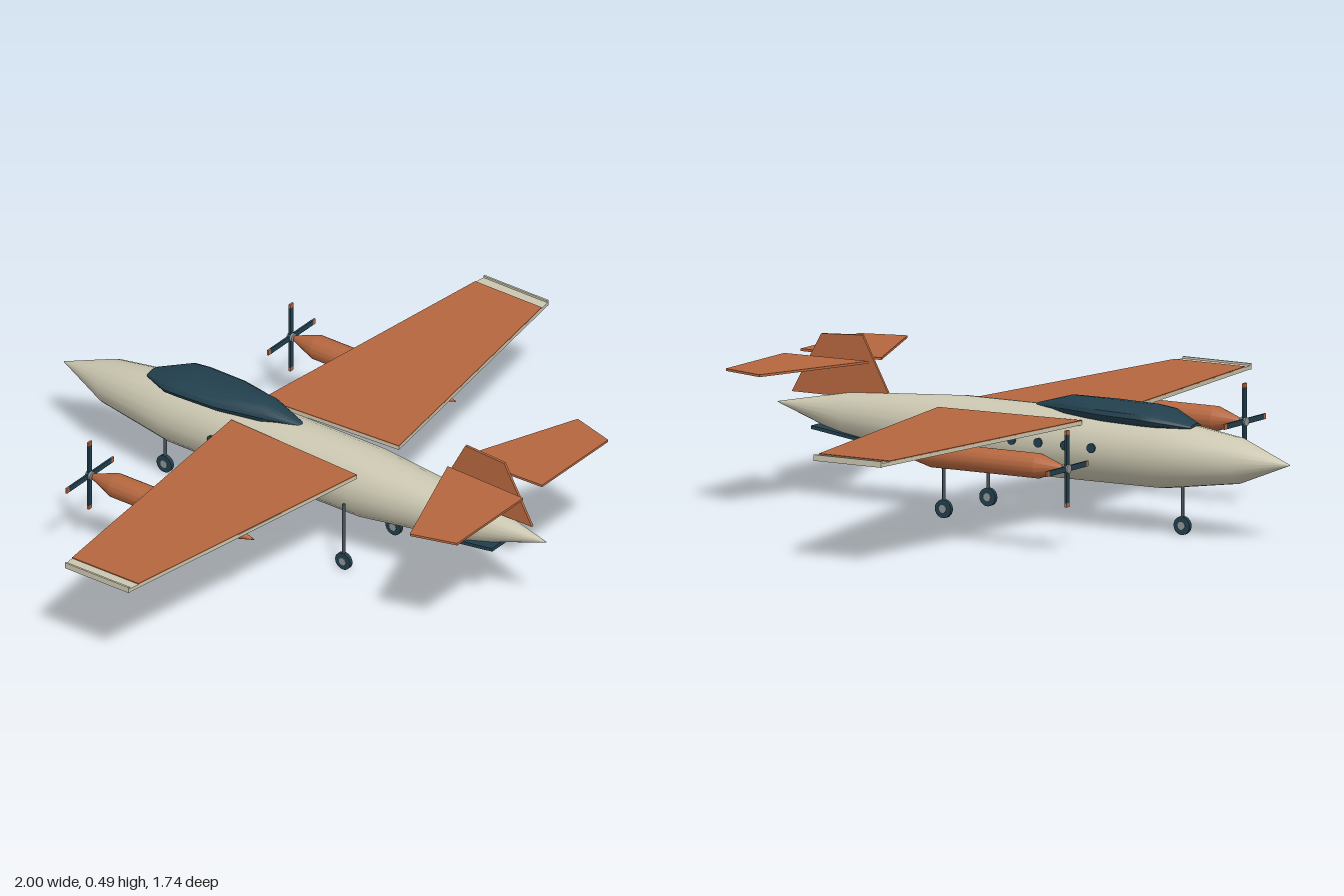
import * as THREE from 'three';
import { toCreasedNormals } from 'three/addons/utils/BufferGeometryUtils.js';

const material = (name, color) => {
  const m = new THREE.MeshStandardMaterial({ color });
  m.name = name;
  return m;
};

// Lofted body from elliptical rings [z, halfWidth, centreY, halfHeight], z ascending
function loft(rings, n = 16) {
  const pos = [], idx = [];
  rings.forEach(([z, rx, cy, ry], i) => {
    for (let j = 0; j < n; j++) {
      const a = (j / n) * Math.PI * 2;
      pos.push(rx * Math.cos(a), cy + ry * Math.sin(a), z);
      if (i === rings.length - 1) continue;
      const k = (j + 1) % n, p = i * n, q = p + n;
      idx.push(p + j, p + k, q + j, p + k, q + k, q + j);
    }
  });
  const g = new THREE.BufferGeometry();
  g.setAttribute('position', new THREE.Float32BufferAttribute(pos, 3));
  g.setIndex(idx);
  return toCreasedNormals(g, 0.5);
}

function extrude(points, depth) {
  const shape = new THREE.Shape(points.map(([x, y]) => new THREE.Vector2(x, y)));
  return new THREE.ExtrudeGeometry(shape, { depth, bevelEnabled: false });
}

// Horizontal plate from plan points [x, z], mirrored by side
function plate(points, side, y, thickness) {
  return extrude(points.map(([x, z]) => [x * side, -z]), thickness)
    .rotateX(-Math.PI / 2).translate(0, y, 0);
}

export function createModel() {
  const cream = material('cream', 0xcac6b0);
  const rust = material('rust', 0xb5673f);
  const navy = material('navy', 0x223f4d);
  const steel = material('steel', 0x8d9496);
  const darkSteel = material('darkSteel', 0x465157);

  const model = new THREE.Group();
  model.name = 'aeroplane';
  const add = (name, geometry, mat, parent = model) => {
    const mesh = new THREE.Mesh(geometry, mat);
    mesh.name = name;
    parent.add(mesh);
    return mesh;
  };

  // Fuselage, nose towards -z
  add('fuselage', loft([
    [-0.87, 0.001, 0.235, 0.001], [-0.7, 0.067, 0.233, 0.067],
    [-0.45, 0.103, 0.233, 0.102], [-0.2, 0.105, 0.235, 0.105],
    [0.24, 0.105, 0.235, 0.105], [0.62, 0.063, 0.248, 0.067],
    [0.87, 0.001, 0.265, 0.001],
  ], 20), cream);

  // Canopy
  add('canopy', loft([
    [-0.552, 0.001, 0.318, 0.001], [-0.55, 0.028, 0.318, 0.01],
    [-0.45, 0.083, 0.335, 0.029], [-0.4, 0.085, 0.338, 0.033],
    [-0.27, 0.08, 0.34, 0.034], [-0.13, 0.05, 0.341, 0.034],
    [-0.02, 0.013, 0.336, 0.008], [0, 0.001, 0.335, 0.001],
  ]), navy);

  // Tail ramp plate under the rear
  const ramp = add('tailRamp', new THREE.BoxGeometry(0.12, 0.01, 0.25), navy);
  ramp.position.set(0, 0.195, 0.595);
  ramp.rotation.x = -0.136;

  // Fin, drawn as [-z, y] and turned into the centre plane
  add('fin', extrude([[-0.82, 0.3], [-0.49, 0.3], [-0.49, 0.318], [-0.58, 0.485], [-0.72, 0.477]], 0.008)
    .translate(0, 0, -0.004).rotateY(Math.PI / 2), rust);

  for (const side of [1, -1]) {
    const label = side > 0 ? 'left' : 'right';

    // Wing core with painted upper panel
    add(label + 'Wing', plate([[0.075, -0.21], [1, -0.11], [1, 0.12], [0.1, 0.262]], side, 0.304, 0.011), cream);
    add(label + 'WingPanel', plate([[0.075, -0.21], [0.96, -0.114], [0.96, 0.126], [0.1, 0.262]], side, 0.315, 0.003), rust);
    const tip = add(label + 'WingTip', new THREE.BoxGeometry(0.006, 0.018, 0.23), cream);
    tip.position.set(side * 0.997, 0.312, 0.005);

    // Tailplane
    add(label + 'Tailplane', plate([[0.035, 0.54], [0.4, 0.68], [0.36, 0.82], [0.045, 0.82]], side, 0.41, 0.007), rust);

    // Engine pod
    const engine = new THREE.Group();
    engine.name = label + 'Engine';
    engine.position.set(side * 0.48, 0.253, 0);
    model.add(engine);
    add('nacelle', loft([
      [-0.405, 0.001, 0, 0.001], [-0.4, 0.009, 0, 0.009], [-0.32, 0.037, 0, 0.037],
      [0.04, 0.037, 0, 0.037], [0.18, 0.001, 0, 0.001],
    ]), rust, engine);

    // Four-bladed propeller
    const hub = add('hub', new THREE.CylinderGeometry(0.013, 0.013, 0.018, 12).rotateX(Math.PI / 2), steel, engine);
    hub.position.z = -0.413;
    for (let i = 0; i < 4; i++) {
      const blade = new THREE.Group();
      blade.name = 'blade';
      blade.position.z = -0.414;
      blade.rotation.z = i * Math.PI / 2;
      engine.add(blade);
      add('bladeBody', new THREE.BoxGeometry(0.016, 0.092, 0.006).translate(0, 0.054, 0), navy, blade);
      add('bladeTip', new THREE.BoxGeometry(0.016, 0.012, 0.006).translate(0, 0.106, 0), rust, blade);
    }

    // Portholes
    for (let i = 0; i < 5; i++) {
      const porthole = add(label + 'Porthole', new THREE.CylinderGeometry(0.014, 0.014, 0.008, 12).rotateZ(Math.PI / 2), navy);
      porthole.position.set(side * 0.104, 0.245, 0.1 - i * 0.09);
    }
  }

  // Landing gear: [name, x, z, strut top]
  for (const [name, x, z, top] of [['noseGear', 0, -0.505, 0.15], ['leftGear', 0.12, 0.23, 0.217], ['rightGear', -0.12, 0.23, 0.217]]) {
    const gear = new THREE.Group();
    gear.name = name;
    gear.position.set(x, 0, z);
    model.add(gear);
    add('strut', new THREE.CylinderGeometry(0.005, 0.005, top - 0.03, 10).translate(0, (top + 0.03) / 2, 0), darkSteel, gear);
    add('wheel', new THREE.CylinderGeometry(0.027, 0.027, 0.012, 20).rotateZ(Math.PI / 2).translate(0, 0.027, 0), navy, gear);
    add('wheelHub', new THREE.CylinderGeometry(0.012, 0.012, 0.016, 12).rotateZ(Math.PI / 2).translate(0, 0.027, 0), steel, gear);
  }

  return model;
}
